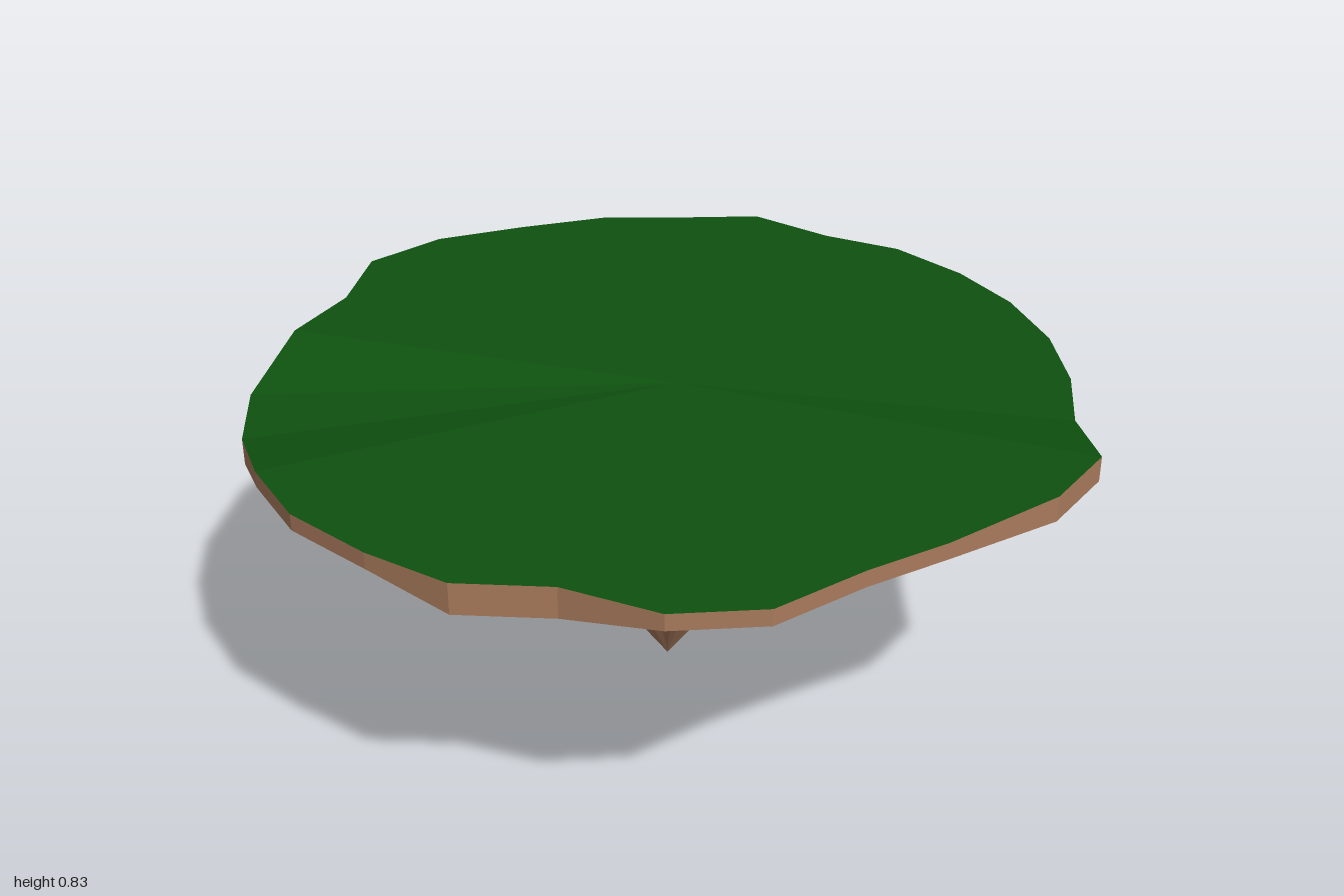
import * as THREE from 'three';

// Rim outline: x, z, top height, bottom height of the edge wall
const RIM = [
  [1.0, -0.03, 0.83, 0.77], [0.97, 0.17, 0.83, 0.77], [0.81, 0.37, 0.785, 0.745], [0.7, 0.54, 0.785, 0.745],
  [0.59, 0.75, 0.785, 0.745], [0.41, 0.86, 0.785, 0.745], [0.18, 0.87, 0.785, 0.71], [-0.02, 0.955, 0.785, 0.71],
  [-0.23, 0.935, 0.785, 0.745], [-0.45, 0.88, 0.785, 0.745], [-0.62, 0.77, 0.785, 0.745], [-0.78, 0.61, 0.745, 0.68],
  [-0.89, 0.43, 0.745, 0.68], [-0.94, 0.18, 0.79, 0.735], [-0.935, -0.03, 0.79, 0.745], [-1.0, -0.24, 0.79, 0.745],
  [-0.92, -0.44, 0.79, 0.75], [-0.76, -0.61, 0.79, 0.75], [-0.6, -0.76, 0.79, 0.75], [-0.43, -0.86, 0.785, 0.75],
  [-0.24, -0.965, 0.785, 0.715], [-0.02, -0.93, 0.785, 0.75], [0.18, -0.935, 0.785, 0.75], [0.38, -0.865, 0.785, 0.745],
  [0.55, -0.76, 0.785, 0.725], [0.7, -0.61, 0.785, 0.725], [0.81, -0.43, 0.785, 0.745], [0.88, -0.24, 0.785, 0.745],
];
const v = (x, y, z) => new THREE.Vector3(x, y, z);

// Joins rings of equal length with quads, top ring first
function loft(rings) {
  const pts = [];
  for (let k = 0; k + 1 < rings.length; k++) {
    const a = rings[k], b = rings[k + 1];
    a.forEach((p, i) => {
      const j = (i + 1) % a.length;
      pts.push(p, a[j], b[j]);
      if (b[i].distanceTo(b[j]) > 1e-6) pts.push(p, b[j], b[i]);
    });
  }
  return facets(pts);
}

function facets(pts) {
  const g = new THREE.BufferGeometry().setFromPoints(pts);
  g.computeVertexNormals();
  return g;
}

export function createModel() {
  const model = new THREE.Group();
  model.name = 'floatingIsland';
  const mat = (name, color) => {
    const m = new THREE.MeshStandardMaterial({ color });
    m.name = name;
    return m;
  };
  const add = (name, geometry, material) => {
    const mesh = new THREE.Mesh(geometry, material);
    mesh.name = name;
    model.add(mesh);
  };
  const grass = mat('grass', 0x0e520f);
  const earth = mat('earth', 0xa87a5c);
  const stone = mat('stone', 0xcfcfcf);

  const top = RIM.map(([x, z, y]) => v(x, y, z));
  const under = RIM.map(([x, z, , y]) => v(x, y, z));
  // Shrunken copies of the outline, tilted a little
  const ring = (s, y, cx, cz) =>
    RIM.map(([x, z]) => v(x * s + cx, y + 0.015 * x - 0.01 * z, z * s + cz));
  const shoulder = ring(0.56, 0.57, -0.02, -0.02);
  const waist = ring(0.3, 0.385, -0.02, -0.03);
  const neck = ring(0.175, 0.25, -0.02, -0.03);
  const tip = RIM.map(() => v(-0.035, 0, -0.025));

  // Grass top as a fan around the centre
  const centre = v(0, 0.785, 0);
  add('grassTop', facets(top.flatMap((p, i) => [centre, top[(i + 1) % top.length], p])), grass);

  // Edge wall and rocky underside
  add('edgeWall', loft([top, under]), earth);
  add('underside', loft([under, shoulder, waist, neck, tip]), earth);

  // Thin stone vein lying on one rear facet, rounded at the inner end
  const [a, b, c, d] = [under[20], under[21], shoulder[21], shoulder[20]];
  const normal = b.clone().sub(a).cross(c.clone().sub(a)).normalize();
  const onFacet = (u, t) =>
    b.clone().lerp(a, u).lerp(c.clone().lerp(d, u), t).addScaledVector(normal, 0.006);
  const steps = [0, 0.25, 0.5, 0.75, 0.88, 0.95, 0.99];
  const half = [0.26, 0.27, 0.29, 0.3, 0.28, 0.2, 0.08];
  const vein = [];
  for (let i = 0; i + 1 < steps.length; i++) {
    const l0 = onFacet(0.36 + half[i], steps[i]), r0 = onFacet(0.36 - half[i], steps[i]);
    const l1 = onFacet(0.36 + half[i + 1], steps[i + 1]), r1 = onFacet(0.36 - half[i + 1], steps[i + 1]);
    vein.push(l0, r0, r1, l0, r1, l1);
  }
  add('stoneVein', facets(vein), stone);
  return model;
}
